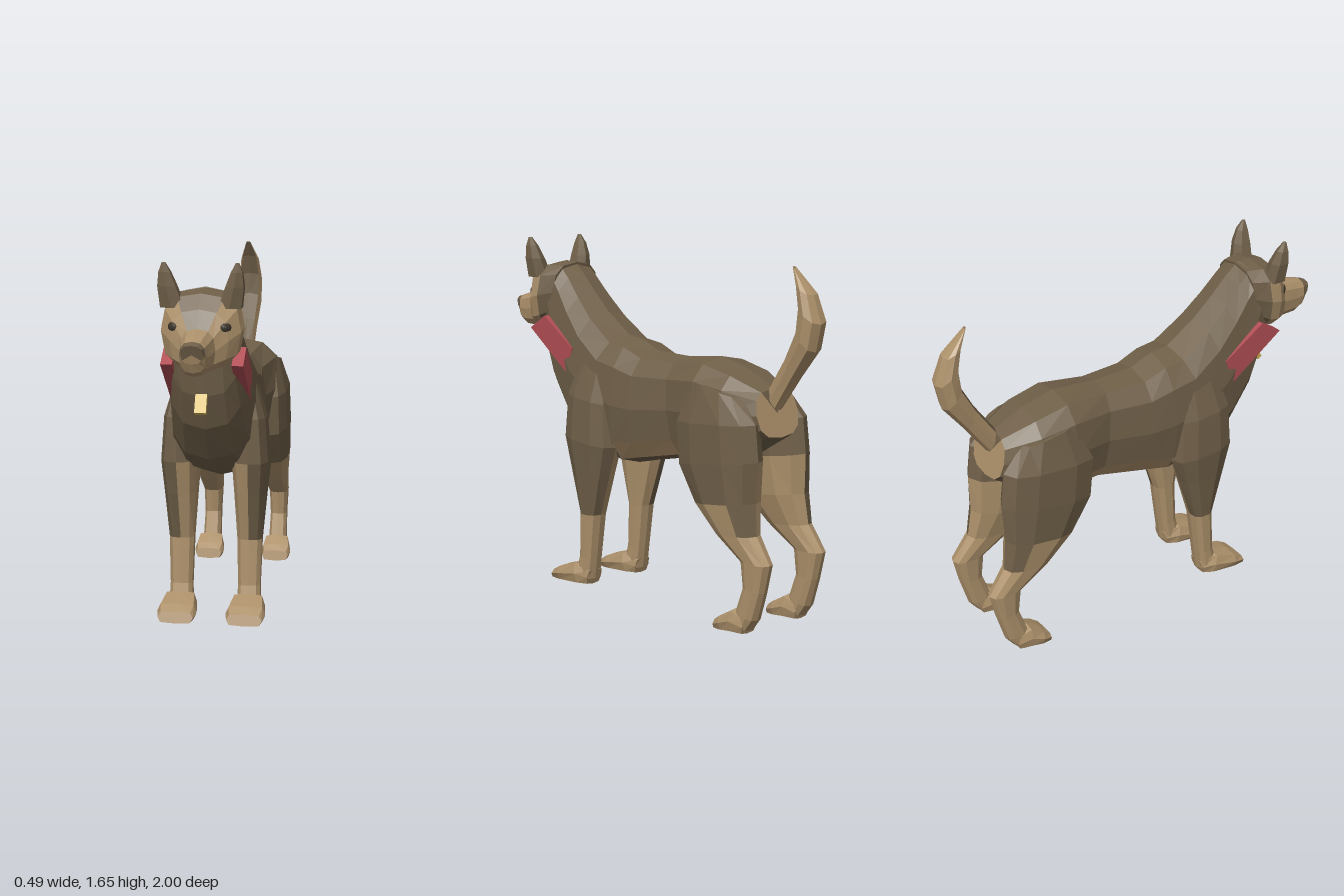
import * as THREE from 'three';

const material = (name, color) => {
  const m = new THREE.MeshStandardMaterial({ color });
  m.name = name;
  return m;
};

// Lofts a closed, faceted skin. Each section is [z1, y1, z2, y2, halfWidth, centreX]:
// two opposite points of the ring in the side plane, and its width across x.
// isTan(centre, along, outward) picks the second material for a face.
function loft(name, sections, materials, isTan, sides = 12, power = 0.75) {
  const bulge = v => Math.sign(v) * Math.pow(Math.abs(v), power);
  const rings = sections.map(([z1, y1, z2, y2, w, cx = 0]) => {
    const ring = [];
    for (let i = 0; i < sides; i++) {
      const a = (i / sides) * Math.PI * 2;
      const c = bulge(Math.cos(a)) / 2, s = bulge(Math.sin(a));
      ring.push(new THREE.Vector3(cx + s * w, (y1 + y2) / 2 + c * (y1 - y2), (z1 + z2) / 2 + c * (z1 - z2)));
    }
    return ring;
  });
  const middle = s => new THREE.Vector3(s[5] || 0, (s[1] + s[3]) / 2, (s[0] + s[2]) / 2);
  const first = middle(sections[0]), last = middle(sections.at(-1));
  const side = Math.sign(sections[0][5] || 0) || 1;
  const buckets = [[], []];
  let volume = 0;
  const addFace = (points, i) => {
    const centre = new THREE.Vector3();
    points.forEach(p => centre.addScaledVector(p, 1 / points.length));
    const a = ((i + 0.5) / sides) * Math.PI * 2;
    const bucket = buckets[isTan(centre, Math.cos(a), Math.sin(a) * side) ? 1 : 0];
    for (let k = 2; k < points.length; k++) {
      const t = [points[0], points[k - 1], points[k]];
      volume += t[0].dot(t[1].clone().cross(t[2]));
      bucket.push(t);
    }
  };
  for (let i = 0; i < sides; i++) {
    const j = (i + 1) % sides;
    addFace([first, rings[0][j], rings[0][i]], i);
    for (let r = 0; r + 1 < rings.length; r++) {
      addFace([rings[r][i], rings[r][j], rings[r + 1][j], rings[r + 1][i]], i);
    }
    addFace([last, rings.at(-1)[i], rings.at(-1)[j]], i);
  }
  const points = [];
  const geometry = new THREE.BufferGeometry();
  buckets.forEach((bucket, m) => {
    geometry.addGroup(points.length, bucket.length * 3, m);
    bucket.forEach(([a, b, c]) => points.push(...(volume > 0 ? [a, b, c] : [a, c, b])));
  });
  geometry.setFromPoints(points);
  geometry.computeVertexNormals();
  const mesh = new THREE.Mesh(geometry, materials);
  mesh.name = name;
  return mesh;
}

export function createModel() {
  const dog = new THREE.Group();
  dog.name = 'dog';
  const dark = material('dark brown coat', 0x6f5f48);
  const tan = material('tan coat', 0xad916b);
  const red = material('red collar', 0xb04e54);
  const gold = material('gold tag', 0xd2b350);
  const eyeDark = material('dark eye', 0x3f382e);
  const eyeWhite = material('white eye', 0xe8e6e0);
  const coat = [dark, tan];
  const add = (name, geometry, mat, x, y, z) => {
    const mesh = new THREE.Mesh(geometry, mat);
    mesh.name = name;
    mesh.position.set(x, y, z);
    dog.add(mesh);
    return mesh;
  };

  // Trunk and neck, from rump to nape
  dog.add(loft('body', [
    [-0.73, 1.06, -0.78, 0.85, 0.13],
    [-0.58, 1.13, -0.62, 0.75, 0.20],
    [-0.42, 1.17, -0.42, 0.70, 0.21],
    [-0.20, 1.15, -0.25, 0.69, 0.165],
    [0.00, 1.155, 0.00, 0.64, 0.19],
    [0.11, 1.20, 0.13, 0.61, 0.20],
    [0.20, 1.21, 0.38, 0.68, 0.20],
    [0.35, 1.31, 0.50, 0.76, 0.185],
    [0.45, 1.40, 0.62, 0.92, 0.165],
    [0.53, 1.48, 0.68, 1.07, 0.15],
    [0.60, 1.535, 0.70, 1.21, 0.145],
  ], coat, (c, u) => (c.z < -0.74) || (c.z > -0.35 && c.z < 0.1 && u < -0.5 && u > -0.87)));

  // Head and muzzle with a tan mask and dark nose
  dog.add(loft('head', [
    [0.58, 1.53, 0.62, 1.25, 0.14],
    [0.66, 1.535, 0.68, 1.21, 0.178],
    [0.73, 1.52, 0.73, 1.20, 0.17],
    [0.785, 1.46, 0.79, 1.20, 0.125],
    [0.83, 1.385, 0.83, 1.20, 0.075],
    [0.92, 1.365, 0.92, 1.20, 0.06],
    [0.965, 1.352, 0.955, 1.22, 0.055],
    [1.00, 1.34, 0.975, 1.26, 0.045],
  ], coat, c => {
    if (c.z > 0.972 && c.y > 1.29) return false;
    if (Math.abs(c.x) < 0.05 && c.y > 1.41) return false;
    return c.z > 0.67 && c.y < 1.47;
  }));

  // Tail, dark along its upper side
  dog.add(loft('tail', [
    [-0.71, 1.05, -0.77, 0.97, 0.035],
    [-0.82, 1.21, -0.87, 1.11, 0.045],
    [-0.885, 1.33, -0.972, 1.24, 0.058],
    [-0.895, 1.43, -1.00, 1.36, 0.058],
    [-0.875, 1.52, -0.955, 1.48, 0.045],
    [-0.84, 1.595, -0.855, 1.58, 0.012],
  ], coat, (c, u) => u < 0.6, 8));

  for (const side of [1, -1]) {
    const label = side > 0 ? 'left' : 'right';
    const place = list => list.map(([a, b, c, d, w, x]) => [a, b, c, d, w, x * side]);
    const always = () => true;

    // Front leg: tan below and along the inner face
    dog.add(loft(label + 'FrontLeg', place([
      [0.38, 1.10, 0.16, 1.06, 0.05, 0.13],
      [0.43, 0.93, 0.14, 0.90, 0.08, 0.15],
      [0.44, 0.73, 0.12, 0.70, 0.085, 0.16],
      [0.40, 0.57, 0.165, 0.57, 0.073, 0.158],
      [0.345, 0.36, 0.235, 0.36, 0.058, 0.155],
      [0.355, 0.15, 0.265, 0.14, 0.052, 0.155],
      [0.38, 0.06, 0.28, 0.04, 0.055, 0.155],
    ]), coat, (c, u, out) => c.y < 0.36 || (out < -0.2 && c.y < 0.7), 10));
    dog.add(loft(label + 'FrontPaw', place([
      [0.275, 0.09, 0.30, 0.01, 0.045, 0.155],
      [0.36, 0.115, 0.34, 0.01, 0.075, 0.155],
      [0.46, 0.085, 0.46, 0.01, 0.09, 0.155],
      [0.505, 0.06, 0.52, 0.01, 0.08, 0.155],
    ]), coat, always, 8, 0.5));

    // Hind leg: haunch, hock and paw
    dog.add(loft(label + 'HindLeg', place([
      [-0.40, 1.08, -0.67, 1.03, 0.06, 0.14],
      [-0.31, 0.89, -0.77, 0.92, 0.09, 0.15],
      [-0.33, 0.70, -0.788, 0.76, 0.095, 0.15],
      [-0.44, 0.54, -0.78, 0.58, 0.085, 0.155],
      [-0.575, 0.42, -0.797, 0.44, 0.06, 0.165],
      [-0.725, 0.325, -0.88, 0.325, 0.047, 0.17],
      [-0.74, 0.21, -0.85, 0.20, 0.042, 0.17],
      [-0.70, 0.10, -0.81, 0.07, 0.045, 0.17],
      [-0.69, 0.04, -0.77, 0.02, 0.045, 0.17],
    ]), coat, (c, u, out) => c.y < 0.5 || (out < -0.2 && c.y < 0.8), 10));
    dog.add(loft(label + 'HindPaw', place([
      [-0.77, 0.07, -0.75, 0, 0.045, 0.17],
      [-0.70, 0.11, -0.69, 0, 0.065, 0.17],
      [-0.64, 0.075, -0.64, 0, 0.075, 0.17],
      [-0.605, 0.05, -0.595, 0, 0.065, 0.17],
    ]), coat, always, 8, 0.5));

    // Pointed ear
    dog.add(loft(label + 'Ear', place([
      [0.76, 1.46, 0.66, 1.46, 0.055, 0.122],
      [0.765, 1.55, 0.68, 1.55, 0.043, 0.143],
      [0.76, 1.61, 0.705, 1.61, 0.027, 0.152],
      [0.75, 1.65, 0.735, 1.65, 0.008, 0.155],
    ]), coat, () => false, 6));

    // Eye with a small white corner
    const eye = add(label + 'Eye', new THREE.SphereGeometry(1, 10, 6), eyeDark, 0.112 * side, 1.385, 0.782);
    eye.scale.set(0.03, 0.021, 0.012);
    eye.rotation.y = side * 0.8;
    const white = add(label + 'EyeWhite', new THREE.SphereGeometry(1, 8, 6), eyeWhite, 0.108 * side, 1.386, 0.793);
    white.scale.set(0.007, 0.01, 0.006);
    white.rotation.y = side * 0.8;

    // Collar panel on the side of the neck
    const panel = new THREE.Shape([[0.72, 1.215], [0.615, 1.28], [0.41, 1.14], [0.455, 1.02]]
      .map(p => new THREE.Vector2(...p)));
    const collar = new THREE.ExtrudeGeometry(panel, { depth: 0.05, bevelEnabled: false });
    collar.translate(0, 0, -0.025).rotateY(-Math.PI / 2);
    add(label + 'CollarPanel', collar, red, 0.152 * side, 0, 0);
  }

  // Tag hanging at the throat
  const tag = add('tag', new THREE.BoxGeometry(0.05, 0.085, 0.025), gold, -0.005, 1.045, 0.705);
  tag.rotation.x = -0.5;

  return dog;
}
